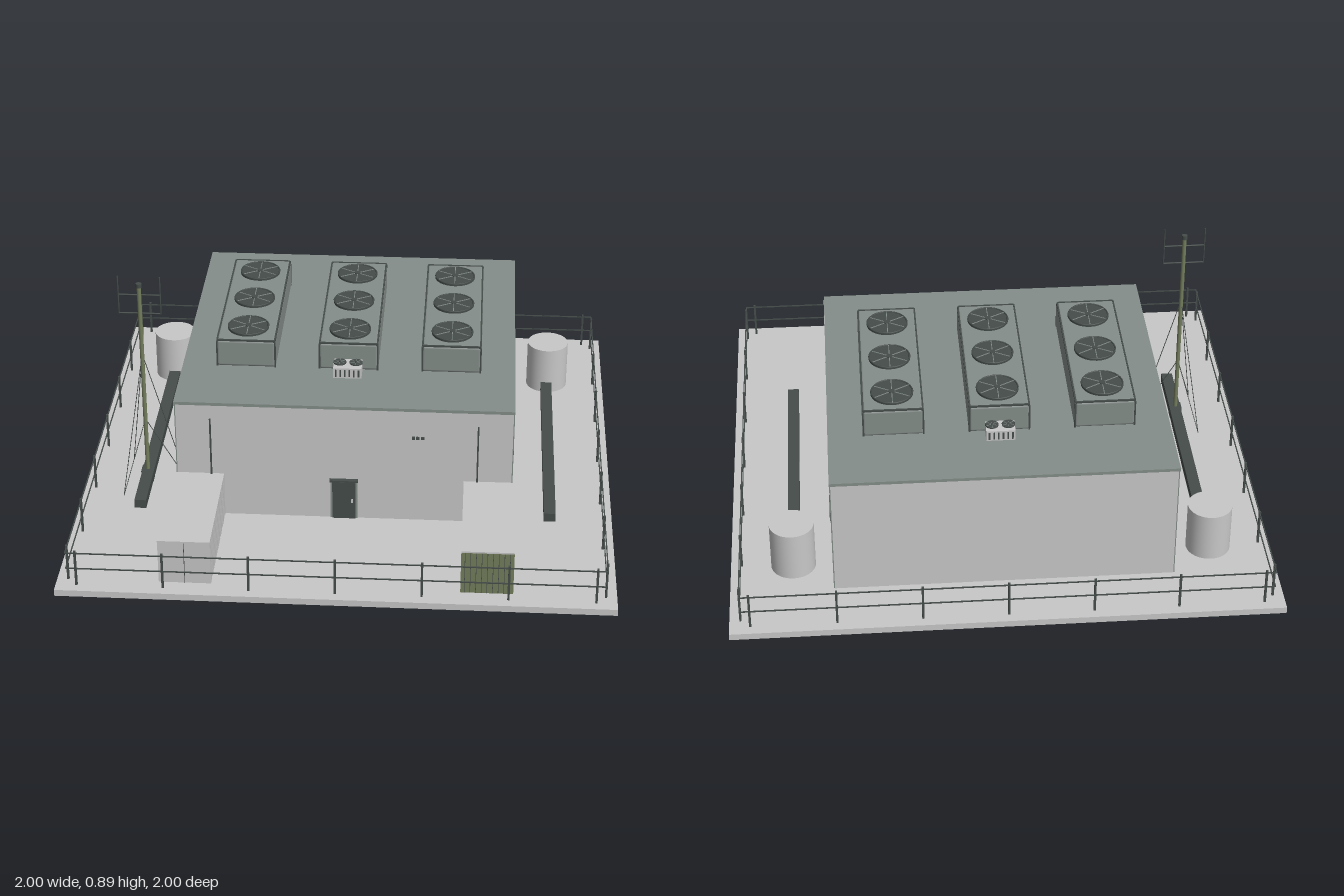
import * as THREE from 'three';
import { RoundedBoxGeometry } from 'three/addons/geometries/RoundedBoxGeometry.js';

const material = (name, color) => {
  const m = new THREE.MeshStandardMaterial({ color });
  m.name = name;
  return m;
};

export function createModel() {
  const root = new THREE.Group();
  root.name = 'equipmentBuilding';
  const light = material('light grey', 0xc8c8c8);
  const grey = material('grey green', 0x858e8a);
  const dark = material('dark grey', 0x454d4a);
  const olive = material('olive', 0x737d5c);

  const mesh = (parent, name, geometry, mat, x = 0, y = 0, z = 0) => {
    const m = new THREE.Mesh(geometry, mat);
    m.name = name;
    m.position.set(x, y, z);
    parent.add(m);
    return m;
  };
  // Box given by its extents on each axis
  const box = (parent, name, mat, [x0, x1], [y0, y1], [z0, z1]) =>
    mesh(parent, name, new THREE.BoxGeometry(x1 - x0, y1 - y0, z1 - z0), mat,
      (x0 + x1) / 2, (y0 + y1) / 2, (z0 + z1) / 2);
  const cyl = (parent, name, mat, r, h, x, y, z, sides = 24) =>
    mesh(parent, name, new THREE.CylinderGeometry(r, r, h, sides), mat, x, y, z);
  // Straight round bar between two points
  const bar = (parent, name, mat, a, b, r) => {
    const p = new THREE.Vector3(...a), d = new THREE.Vector3(...b).sub(p);
    const m = cyl(parent, name, mat, r, d.length(), 0, 0, 0, 6);
    m.position.copy(p).addScaledVector(d, 0.5);
    m.quaternion.setFromUnitVectors(new THREE.Vector3(0, 1, 0), d.normalize());
  };
  const group = (name, parent = root) => {
    const g = new THREE.Group();
    g.name = name;
    parent.add(g);
    return g;
  };

  const G = 0.025; // ground level on the slab
  box(root, 'slab', light, [-1, 1], [0, G], [-1, 1]);

  // Main hall with its roof sheet
  const hall = group('hall');
  box(hall, 'walls', light, [-0.62, 0.62], [G, 0.495], [-0.77, 0.46]);
  box(hall, 'roof', grey, [-0.625, 0.625], [0.493, 0.505], [-0.78, 0.467]);
  for (const s of [-1, 1]) {
    // Seams and louvres on the side walls
    for (let i = 0; i <= 20; i++) {
      const z = -0.765 + i * 0.061;
      box(hall, 'wallSeam', grey, [s * 0.621 - 0.003, s * 0.621 + 0.003], [G, 0.493], [z - 0.003, z + 0.003]);
    }
    for (const z of [-0.49, 0.178]) {
      box(hall, 'louvre', dark, [s * 0.622 - 0.005, s * 0.622 + 0.005], [0.148, 0.205], [z - 0.057, z + 0.057]);
      for (let i = 0; i < 4; i++) {
        const y = 0.158 + i * 0.012;
        box(hall, 'louvreSlat', dark, [s * 0.628 - 0.002, s * 0.628 + 0.002], [y, y + 0.005], [z - 0.052, z + 0.052]);
      }
    }
    box(hall, 'downpipe', dark, [s * 0.493 - 0.003, s * 0.493 + 0.003], [G, 0.435], [0.458, 0.466]);
  }

  // Door with frame and canopy
  const door = group('door');
  box(door, 'doorFrame', grey, [-0.05, 0.05], [G, 0.187], [0.456, 0.464]);
  box(door, 'doorLeaf', dark, [-0.043, 0.043], [G, 0.18], [0.46, 0.467]);
  box(door, 'doorCanopy', dark, [-0.053, 0.053], [0.187, 0.194], [0.455, 0.477]);
  box(door, 'doorHandle', light, [0.028, 0.034], [0.095, 0.11], [0.467, 0.471]);
  for (const [x0, x1] of [[0.25, 0.262], [0.266, 0.278], [0.284, 0.296]])
    box(hall, 'wallVent', dark, [x0, x1], [0.375, 0.385], [0.459, 0.466]);

  // Fan: dark well, raised ring, pale guard spokes and hub
  const fan = (parent, x, y, z, r) => {
    const f = group('fan', parent);
    f.position.set(x, y, z);
    cyl(f, 'fanDisc', dark, r, 0.008, 0, 0.004, 0, 32);
    const ring = mesh(f, 'fanRing', new THREE.TorusGeometry(r * 0.97, r * 0.04, 6, 32), dark, 0, 0.008, 0);
    ring.rotation.x = Math.PI / 2;
    for (let i = 0; i < 3; i++) {
      const spoke = mesh(f, 'fanSpoke', new THREE.BoxGeometry(r * 1.9, 0.002, r * 0.035), grey, 0, 0.009, 0);
      spoke.rotation.y = (i * Math.PI) / 3 + Math.PI / 6;
    }
    cyl(f, 'fanHub', dark, r * 0.15, 0.004, 0, 0.009, 0, 12);
  };

  // Three rooftop coolers with three fans each
  for (const x of [-0.385, 0, 0.385]) {
    const unit = group('cooler');
    unit.position.x = x;
    mesh(unit, 'coolerBody', new RoundedBoxGeometry(0.224, 0.112, 0.686, 2, 0.012), grey, 0, 0.559, -0.158);
    for (const s of [-1, 1]) {
      box(unit, 'coolerSideTrim', dark, [s * 0.108 - 0.003, s * 0.108 + 0.003], [0.606, 0.616], [-0.495, 0.179]);
      const z = -0.158 + s * 0.338;
      box(unit, 'coolerEndTrim', dark, [-0.108, 0.108], [0.606, 0.616], [z - 0.003, z + 0.003]);
      for (const t of [-1, 1])
        box(unit, 'coolerCornerTrim', dark, [s * 0.109 - 0.003, s * 0.109 + 0.003], [0.505, 0.608],
          [-0.158 + t * 0.34 - 0.003, -0.158 + t * 0.34 + 0.003]);
    }
    for (const z of [-0.39, -0.158, 0.075]) fan(unit, 0, 0.614, z, 0.078);
  }

  // Small condensers at both ends of the middle cooler
  for (const [z0, z1, out] of [[-0.567, -0.502, -1], [0.186, 0.26, 1]]) {
    const c = group('condenser');
    box(c, 'condenserBody', light, [-0.053, 0.053], [0.509, 0.55], [z0, z1]);
    const zf = out > 0 ? z1 : z0;
    for (let i = 0; i < 6; i++) {
      const x = -0.043 + i * 0.017;
      box(c, 'condenserGrille', dark, [x - 0.003, x + 0.003], [0.515, 0.544], [zf - 0.002, zf + 0.002]);
    }
    for (const x of [-0.03, 0.03]) fan(c, x, 0.546, out > 0 ? 0.214 : -0.527, 0.024);
  }

  // Tanks and cable trunks along both sides
  for (const s of [-1, 1]) {
    cyl(root, 'tank', light, 0.082, 0.19, s * 0.77, G + 0.095, -0.62, 40);
    box(root, 'cableTrunk', dark, [s * 0.767 - 0.022, s * 0.767 + 0.022], [0.036, 0.07], [-0.54, 0.46]);
    for (const z of [-0.5, -0.2, 0.1, 0.4])
      box(root, 'trunkFoot', dark, [s * 0.767 - 0.015, s * 0.767 + 0.015], [G, 0.037], [z - 0.015, z + 0.015]);
  }

  // Ribbed containers in the front yard
  for (const [x, side] of [[-0.54, light], [0.538, olive]]) {
    const c = group('container');
    c.position.x = x;
    box(c, 'containerBody', side === olive ? light : grey, [-0.089, 0.089], [G, 0.198], [0.464, 0.922]);
    box(c, 'containerLid', light, [-0.094, 0.094], [0.194, 0.2], [0.46, 0.927]);
    for (const s of [-1, 1])
      for (let i = 0; i < 22; i++) {
        const z = 0.47 + i * 0.0212;
        box(c, 'containerRib', side, [s * 0.09 - 0.004, s * 0.09 + 0.004], [G, 0.195], [z - 0.006, z + 0.006]);
      }
    for (const z of [0.463, 0.923]) {
      box(c, 'containerEnd', side, [-0.094, 0.094], [G, 0.195], [z - 0.002, z + 0.002]);
      if (side === olive)
        for (let i = 0; i < 9; i++) {
          const px = -0.08 + i * 0.02;
          box(c, 'endGroove', dark, [px - 0.001, px + 0.001], [G, 0.192], [z - 0.003, z + 0.003]);
        }
    }
    box(c, 'containerDoorGap', dark, [-0.001, 0.001], [G, 0.192], [0.922, 0.927]);
  }

  // Perimeter fence: the same run turned to all four sides
  for (let k = 0; k < 4; k++) {
    const run = group('fence');
    run.rotation.y = (k * Math.PI) / 2;
    for (const x of [-0.925, -0.615, -0.308, 0, 0.308, 0.615, 0.925])
      box(run, 'fencePost', dark, [x - 0.004, x + 0.004], [G, 0.167], [0.956, 0.964]);
    for (const y of [0.093, 0.157])
      box(run, 'fenceRail', dark, [-0.96, 0.96], [y - 0.002, y + 0.002], [0.958, 0.962]);
  }

  // Aerial mast with guy wires
  const mast = group('mast');
  mast.position.set(-0.77, 0, 0.23);
  box(mast, 'mastBase', dark, [-0.023, 0.023], [G, 0.07], [-0.023, 0.023]);
  cyl(mast, 'mastPole', olive, 0.008, 0.8, 0, 0.46, 0, 12);
  cyl(mast, 'mastCap', dark, 0.011, 0.016, 0, 0.857, 0, 12);
  for (const y of [0.742, 0.818])
    bar(mast, 'aerialCrossbar', dark, [-0.078, y, 0], [0.078, y, 0], 0.003);
  for (const x of [-0.078, 0.078])
    bar(mast, 'aerialRod', dark, [x, 0.74, 0], [x, 0.893, 0], 0.003);
  for (let i = 0; i < 3; i++) {
    const a = (i * Math.PI * 2) / 3;
    for (const y of [0.29, 0.57])
      bar(mast, 'guyWire', dark, [0, y, 0], [0.15 * Math.cos(a), G, 0.15 * Math.sin(a)], 0.0015);
  }
  return root;
}
